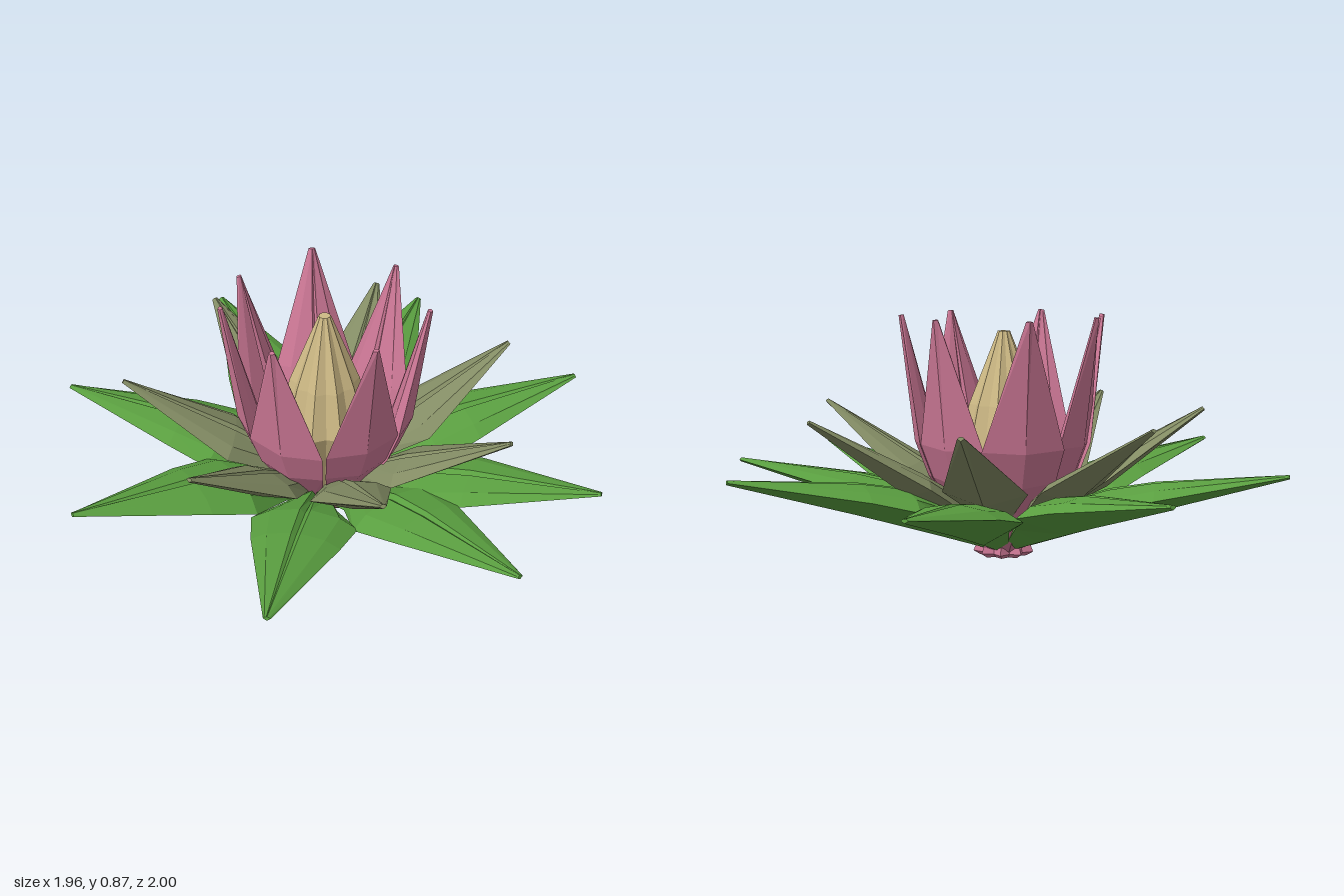
import * as THREE from 'three';

const mat = (name, color) => Object.assign(new THREE.MeshStandardMaterial({ color }), { name });

// Faceted skin over closed rings with equal point counts, capped at both ends
function loft(rings) {
  const pos = [];
  const n = rings[0].length;
  const tri = (...pts) => pts.forEach((p) => pos.push(p.x, p.y, p.z));
  const centre = (ring) => ring.reduce((s, p) => s.add(p), new THREE.Vector3()).divideScalar(n);
  const first = rings[0], last = rings[rings.length - 1];
  const c0 = centre(first), c1 = centre(last);
  for (let k = 0; k < n; k++) {
    const m = (k + 1) % n;
    for (let i = 0; i < rings.length - 1; i++) {
      const a = rings[i], b = rings[i + 1];
      tri(a[k], a[m], b[m]);
      tri(a[k], b[m], b[k]);
    }
    tri(c0, first[m], first[k]);
    tri(c1, last[k], last[m]);
  }
  const g = new THREE.BufferGeometry();
  g.setAttribute('position', new THREE.Float32BufferAttribute(pos, 3));
  g.computeVertexNormals();
  return g;
}

// Thick petal growing along +z with a grooved midrib;
// stations are [reach, height, halfWidth, ridge, keel]
function petalGeometry(stations) {
  return loft(stations.map(([r, y, w, ridge, keel], i) => {
    const a = stations[Math.max(i - 1, 0)];
    const b = stations[Math.min(i + 1, stations.length - 1)];
    const len = Math.hypot(b[0] - a[0], b[1] - a[1]);
    const nr = -(b[1] - a[1]) / len, ny = (b[0] - a[0]) / len;
    const p = (x, up) => new THREE.Vector3(x, y + ny * up, r + nr * up);
    return [
      p(w, 0), p(w * 0.65, ridge * 0.65), p(w * 0.1, ridge), p(0, ridge * 0.7),
      p(-w * 0.1, ridge), p(-w * 0.65, ridge * 0.65), p(-w, 0), p(0, -keel),
    ];
  }));
}

// Fluted body of revolution; profile is [radius, height]
function flutedGeometry(profile, lobes, valley) {
  return loft(profile.map(([r, y]) => Array.from({ length: lobes * 2 }, (_, k) => {
    const a = (k * Math.PI) / lobes;
    const q = k % 2 ? r * valley : r;
    return new THREE.Vector3(Math.cos(a) * q, y, -Math.sin(a) * q);
  })));
}

export function createModel() {
  const leafGreen = mat('leaf green', 0x5a9f40);
  const olive = mat('olive', 0x838c64);
  const pink = mat('petal pink', 0xcd7896);
  const gold = mat('pale gold', 0xcdb985);

  const model = new THREE.Group();
  model.name = 'waterLily';
  const flower = new THREE.Group();
  flower.name = 'flower';
  flower.position.set(0.01, 0, -0.02);
  model.add(flower);

  // Each whorl repeats one petal toward its list of [x, z, height] tips
  function whorl(name, material, stations, tips) {
    const group = new THREE.Group();
    group.name = name + 'Whorl';
    const geometry = petalGeometry(stations);
    const [reach, height] = stations[stations.length - 1];
    for (const [tx, tz, ty = height] of tips) {
      const x = tx - flower.position.x, z = tz - flower.position.z;
      const petal = new THREE.Mesh(geometry, material);
      petal.name = name;
      petal.rotation.y = Math.atan2(x, z);
      petal.scale.set(1, ty / height, Math.hypot(x, z) / reach);
      group.add(petal);
    }
    flower.add(group);
  }

  // Low spreading leaves, narrow at the stalk and arched outward
  whorl('outerLeaf', leafGreen, [
    [0.06, 0.04, 0.035, 0.02, 0.015],
    [0.22, 0.135, 0.085, 0.07, 0.055],
    [0.4, 0.215, 0.19, 0.055, 0.075],
    [0.56, 0.255, 0.156, 0.045, 0.065],
    [1.02, 0.335, 0.012, 0.008, 0.008],
  ], [[0.24, -1], [0.9, -0.52, 0.315], [0.97, 0.31], [0.54, 0.86, 0.305],
    [0.01, 1, 0.31], [-0.75, 0.65, 0.31], [-0.98, -0.14, 0.34], [-0.57, -0.85, 0.315]]);

  // Rising sepals
  whorl('sepal', olive, [
    [0.06, 0.07, 0.035, 0.02, 0.01],
    [0.2, 0.19, 0.075, 0.045, 0.03],
    [0.35, 0.285, 0.148, 0.045, 0.05],
    [0.73, 0.525, 0.012, 0.008, 0.008],
  ], [[0.04, -0.75], [0.61, -0.45], [0.72, 0.19], [0.28, 0.66],
    [-0.28, 0.65], [-0.69, 0.15], [-0.55, -0.48]]);

  // Upright cup of petals
  whorl('innerPetal', pink, [
    [0.06, 0.02, 0.03, 0.01, 0.01],
    [0.11, 0.08, 0.05, 0.02, 0.015],
    [0.24, 0.3, 0.125, 0.04, 0.03],
    [0.28, 0.42, 0.145, 0.045, 0.035],
    [0.36, 0.865, 0.012, 0.01, 0.008],
  ], [[-0.12, -0.35], [0.21, -0.35], [0.37, -0.06], [0.26, 0.25],
    [-0.05, 0.33], [-0.33, 0.13], [-0.3, -0.21]]);

  // Fluted bud in the middle
  const bud = new THREE.Mesh(
    flutedGeometry([[0.06, 0.1], [0.17, 0.38], [0.125, 0.55], [0.022, 0.81]], 10, 0.86), gold);
  bud.name = 'bud';
  flower.add(bud);

  // Small frilled foot
  const foot = new THREE.Mesh(
    flutedGeometry([[0.085, 0], [0.11, 0.015], [0.1, 0.04], [0.05, 0.05]], 9, 0.75), pink);
  foot.name = 'foot';
  flower.add(foot);

  return model;
}
